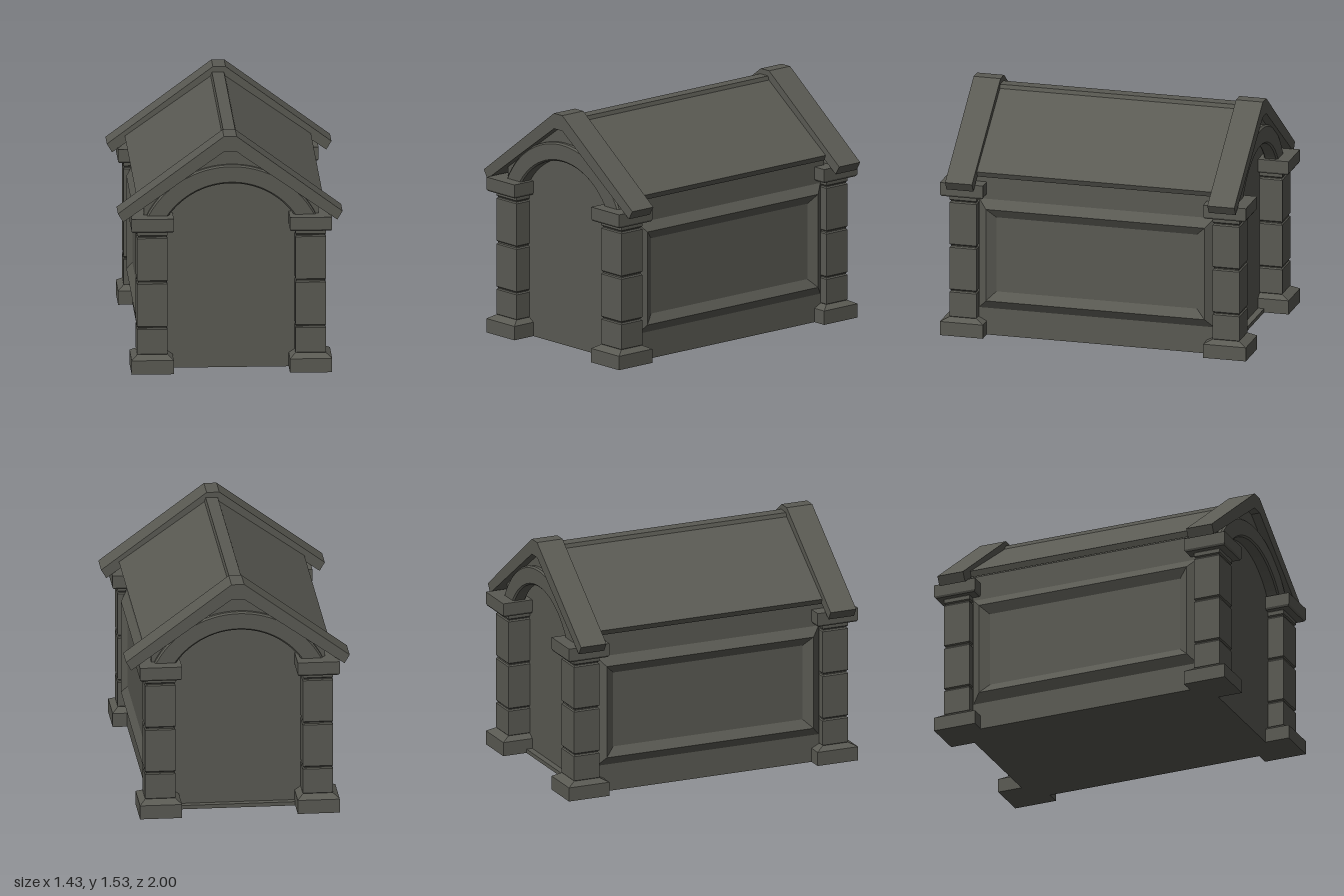
import * as THREE from 'three';

const stone = new THREE.MeshStandardMaterial({ color: 0x5a5a53 });
stone.name = 'darkStone';

function add(parent, name, geometry, x = 0, y = 0, z = 0) {
  const mesh = new THREE.Mesh(geometry, stone);
  mesh.name = name;
  mesh.position.set(x, y, z);
  parent.add(mesh);
  return mesh;
}

// Stack of rectangles [height, halfX, halfZ] along y, joined by flat faces and capped
function rectLoft(rings) {
  const pos = [];
  const corners = rings.map(([y, a, b]) => [[-a, y, b], [a, y, b], [a, y, -b], [-a, y, -b]]);
  const quad = (a, b, c, d) => pos.push(...a, ...b, ...c, ...a, ...c, ...d);
  for (let i = 0; i < corners.length - 1; i++) {
    const lo = corners[i], hi = corners[i + 1];
    for (let k = 0; k < 4; k++) {
      const n = (k + 1) % 4;
      quad(lo[k], lo[n], hi[n], hi[k]);
    }
  }
  const top = corners[corners.length - 1], bottom = corners[0];
  quad(top[0], top[1], top[2], top[3]);
  quad(bottom[3], bottom[2], bottom[1], bottom[0]);
  const g = new THREE.BufferGeometry();
  g.setAttribute('position', new THREE.Float32BufferAttribute(pos, 3));
  g.computeVertexNormals();
  return g;
}

// Symmetric outline from its right half, extruded from z0 to z1
function mirroredExtrude(half, z0, z1) {
  const left = half.map(([x, y]) => [-x, y]).reverse();
  const shape = new THREE.Shape([...half, ...left].map(([x, y]) => new THREE.Vector2(x, y)));
  const g = new THREE.ExtrudeGeometry(shape, { depth: z1 - z0, bevelEnabled: false });
  return g.translate(0, 0, z0);
}

function block(y0, y1, hx, hz, c) {
  return rectLoft([[y0, hx - c, hz - c], [y0 + c, hx, hz], [y1 - c, hx, hz], [y1, hx - c, hz - c]]);
}

function makePillar() {
  const pillar = new THREE.Group();
  pillar.name = 'pillar';
  add(pillar, 'pillarBase', rectLoft([[0, 0.133, 0.14], [0.09, 0.133, 0.14], [0.115, 0.097, 0.09]]));
  add(pillar, 'pillarCore', rectLoft([[0.1, 0.088, 0.081], [0.95, 0.088, 0.081]]));
  [[0.11, 0.288], [0.29, 0.583], [0.588, 0.88], [0.882, 0.925]].forEach(([a, b]) =>
    add(pillar, 'pillarBlock', block(a, b, 0.096, 0.088, 0.009)));
  add(pillar, 'pillarCap', rectLoft([[0.92, 0.126, 0.132], [0.932, 0.133, 0.14], [1.01, 0.133, 0.14]]));
  return pillar;
}

// Arch segment between two radii, cut off at the pillar caps
const ARCH_Y = 0.735;
const SPRING = 1.0;
const angleAt = r => Math.asin((SPRING - ARCH_Y) / r);

function makeArch() {
  const outer = 0.59, inner = 0.49;
  const shape = new THREE.Shape();
  shape.absarc(0, ARCH_Y, outer, angleAt(outer), Math.PI - angleAt(outer), false);
  shape.absarc(0, ARCH_Y, inner, Math.PI - angleAt(inner), angleAt(inner), true);
  return new THREE.ExtrudeGeometry(shape, {
    depth: 0.07, curveSegments: 24, bevelSize: 0.01, bevelThickness: 0.01, bevelSegments: 1,
  }).translate(0, 0, 0.84);
}

function makeGable() {
  const r = 0.5, a = angleAt(r);
  const shape = new THREE.Shape();
  shape.moveTo(0.55, SPRING);
  [[0.55, 1.08], [0.04, 1.44], [-0.04, 1.44], [-0.55, 1.08], [-0.55, SPRING]].forEach(p => shape.lineTo(...p));
  shape.absarc(0, ARCH_Y, r, Math.PI - a, a, true);
  return new THREE.ExtrudeGeometry(shape, { depth: 0.06, curveSegments: 24, bevelEnabled: false })
    .translate(0, 0, 0.83);
}

export function createModel() {
  const model = new THREE.Group();
  model.name = 'stoneHouse';
  const house = new THREE.Group();
  house.name = 'house';
  house.position.x = 0.008;
  model.add(house);

  // Walls and rear sill
  add(house, 'walls', mirroredExtrude([[0.54, 0], [0.54, 1.06], [0.04, 1.42]], -0.8, 0.84));
  add(house, 'rearSill', new THREE.BoxGeometry(1.0, 0.025, 0.06), 0, 0.0125, -0.81);

  // Main roof with ridge strip
  add(house, 'roof', mirroredExtrude(
    [[0.04, 1.41], [0.57, 1.05], [0.587, 1.085], [0.038, 1.475]], -0.8, 0.8));
  add(house, 'roofRidge', mirroredExtrude([[0.05, 1.455], [0.038, 1.495]], -0.8, 0.8));

  // Framed side panels: raised lip with a sunken field
  for (const side of [-1, 1]) {
    const panel = add(house, 'sidePanel', rectLoft([
      [0, 0.3675, 0.775], [0.045, 0.3025, 0.715], [0.01, 0.245, 0.655],
    ]), side * 0.535, 0.5375, 0);
    panel.rotation.z = -side * Math.PI / 2;
  }

  // Both ends: pillars, arch, gable and overhanging roof rim
  for (const turn of [0, Math.PI]) {
    const end = new THREE.Group();
    end.name = turn ? 'rearEnd' : 'frontEnd';
    end.rotation.y = turn;
    house.add(end);
    for (const side of [-1, 1]) {
      const pillar = makePillar();
      pillar.position.set(side * 0.499, 0, 0.86);
      end.add(pillar);
    }
    add(end, 'arch', makeArch());
    add(end, 'gable', makeGable());
    add(end, 'roofRim', mirroredExtrude(
      [[0.04, 1.43], [0.675, 0.98], [0.708, 1.035], [0.04, 1.53]], 0.772, 0.948), -0.008);
  }
  return model;
}
